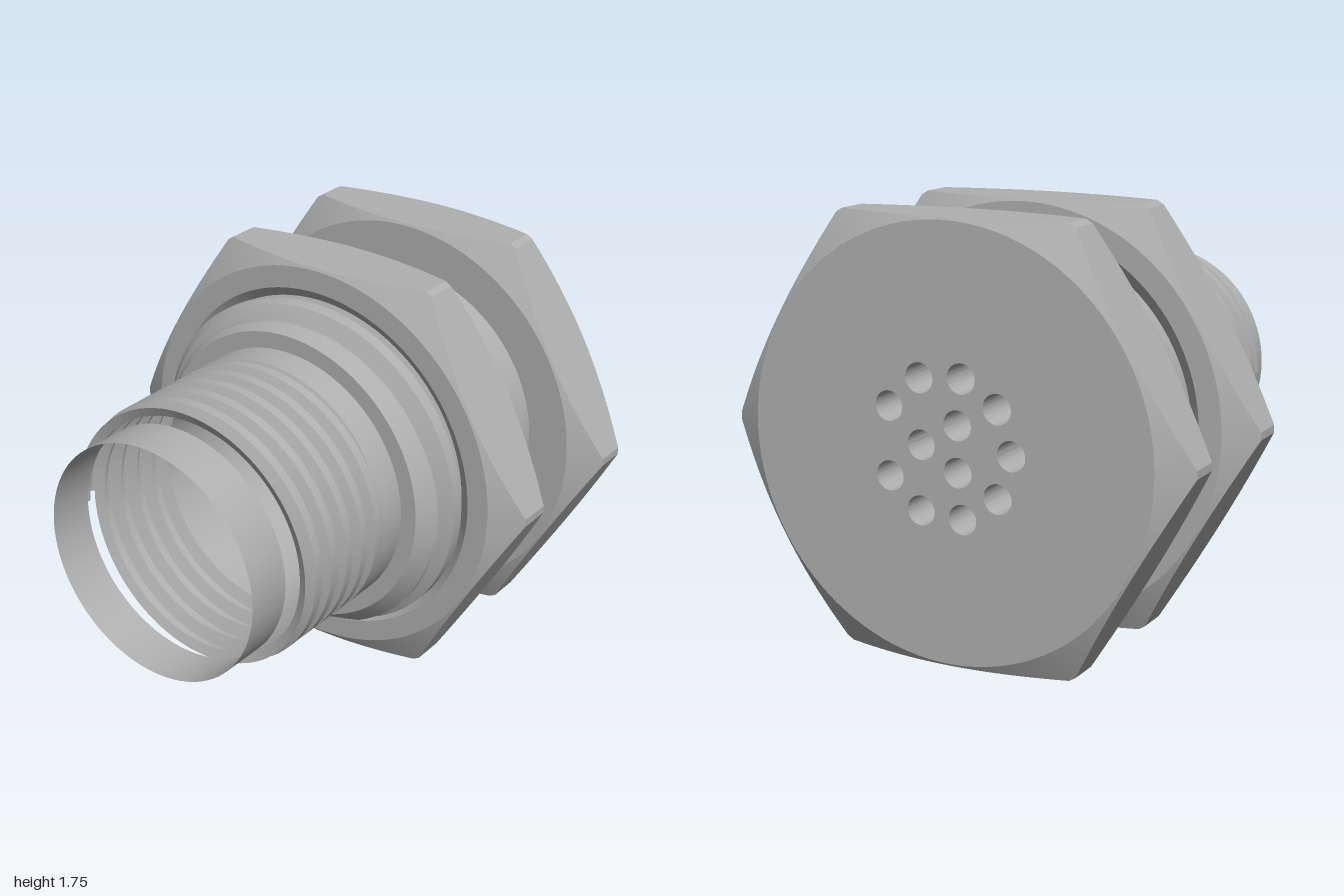
import * as THREE from 'three';
import { toCreasedNormals } from 'three/addons/utils/BufferGeometryUtils.js';

const TAU = Math.PI * 2;
const AXIS_Y = 0.874; // height of the axis, also half the hexagon width
const CORNER_R = 1, CHAMFER_R = 0.865;

// Surface from a grid of points; at(i, j) returns [x, radius, angle] around the x axis
function sweep(rows, cols, at, crease = 0.4, flatY = -9) {
  const pos = [], idx = [];
  for (let i = 0; i <= rows; i++) {
    for (let j = 0; j <= cols; j++) {
      const [x, r, a] = at(i, j);
      pos.push(x, Math.max(r * Math.cos(a), flatY), r * Math.sin(a));
      if (i < rows && j < cols) {
        const p = i * (cols + 1) + j, q = p + cols + 1;
        idx.push(p, p + 1, q, p + 1, q + 1, q);
      }
    }
  }
  const g = new THREE.BufferGeometry();
  g.setAttribute('position', new THREE.Float32BufferAttribute(pos, 3));
  g.setIndex(idx);
  return toCreasedNormals(g, crease);
}

// Turned part from [x, radius] points
const turned = (pts) => sweep(pts.length - 1, 96, (i, j) => [...pts[i], j / 96 * TAU]);

// Helical thread skin; crest centre lies at x = phase on top
function thread({ x0, x1, pitch, phase, root, crest, limit, runOut, flatY }) {
  const knots = [0, 0.2, 0.32, 0.44, 0.56, 0.68, 0.8];
  const turns = Math.ceil((x1 - x0) / pitch) + 3;
  const first = Math.floor((x0 - phase) / pitch) - 1;
  const n = knots.length;
  return sweep(turns * n, 96, (i, j) => {
    const turn = j / 96 - 0.25;
    const s = first + Math.floor(i / n) + knots[i % n];
    const start = runOut ? x0 + pitch * turn : x0;
    const x = THREE.MathUtils.clamp(phase + pitch * (s + turn), start, x1);
    let f = (x - phase) / pitch - turn;
    f = Math.abs(f - Math.round(f));
    const k = THREE.MathUtils.clamp((0.44 - f) / 0.24, 0, 1);
    return [x, Math.min(root + (crest - root) * k, limit(x)), turn * TAU];
  }, 0.35, flatY);
}

// Hexagon with chamfered corners, joined to inner profiles on both ends
function hexagon(x0, x1, before, after) {
  const steps = 20, half = Math.acos(AXIS_Y / CORNER_R);
  const angles = [];
  for (let s = 0; s < 6; s++) {
    for (let k = 0; k <= steps; k++) angles.push([s * TAU / 6, (k / steps * 2 - 1) * half]);
  }
  angles.push([TAU, -half]);
  const rows = before.length + after.length + 4;
  return sweep(rows - 1, angles.length - 1, (i, j) => {
    const [side, local] = angles[j];
    const R = AXIS_Y / Math.cos(local);
    const inset = 0.075 * (R - CHAMFER_R) / (CORNER_R - CHAMFER_R);
    const line = [...before, [x0, CHAMFER_R], [x0 + inset, R], [x1 - inset, R], [x1, CHAMFER_R], ...after];
    return [...line[i], side + local];
  });
}

// Round cap plate pierced by an outer and an inner ring of vent holes
function ventPlate(x0, x1) {
  const shape = new THREE.Shape().absarc(0, 0, CHAMFER_R, 0, TAU, false);
  const hole = (r, deg) => {
    const a = deg * Math.PI / 180;
    shape.holes.push(new THREE.Path().absarc(r * Math.cos(a), r * Math.sin(a), 0.06, 0, TAU, true));
  };
  for (let k = -4; k <= 4; k++) hole(0.283, k * 37.7);
  for (const deg of [60, 180, 300]) hole(0.106, deg);
  const g = new THREE.ExtrudeGeometry(shape, { depth: x1 - x0, bevelEnabled: false, curveSegments: 48 });
  g.rotateY(Math.PI / 2);
  g.translate(x0, 0, 0);
  return toCreasedNormals(g, 0.4);
}

export function createModel() {
  const metal = new THREE.MeshStandardMaterial({ color: 0xb0b0b0, side: THREE.DoubleSide });
  metal.name = 'grey metal';
  const model = new THREE.Group();
  model.name = 'ventPlug';
  const body = new THREE.Group();
  body.name = 'plugBody';
  body.position.y = AXIS_Y;
  model.add(body);
  const add = (name, geometry) => {
    const mesh = new THREE.Mesh(geometry, metal);
    mesh.name = name;
    body.add(mesh);
  };

  // Loose sleeve at the thin end
  add('endSleeve', turned([[-1, 0.508], [-0.8, 0.508]]));

  // Narrow thread, its plain neck and the shoulder
  add('smallThread', thread({
    x0: -0.775, x1: -0.22, pitch: 0.1, phase: -0.7, root: 0.525, crest: 0.575,
    limit: () => 1, runOut: true,
  }));
  add('neck', turned([[-0.25, 0.574], [-0.12, 0.574], [-0.12, 0.645]]));
  add('bore', turned([[-0.3, 0.508], [0.75, 0.508]]));

  // Wide thread with tapered ends and a flat underside
  add('largeThread', thread({
    x0: -0.12, x1: 0.5, pitch: 0.135, phase: 0.012, root: 0.67, crest: 0.74, flatY: -0.649,
    limit: (x) => Math.min(0.645 + (x + 0.12) * 0.85, 0.655 + (0.5 - x) * 1.2),
  }));
  add('collar', turned([[0.48, 0.654], [0.75, 0.654]]));

  // Lock nut with a countersunk bore
  add('lockNut', hexagon(0.07, 0.36,
    [[0.12, 0.71], [0.07, 0.77]], [[0.36, 0.77], [0.31, 0.71], [0.12, 0.71]]));

  // Hexagonal cap with a seal recess at the rear
  add('capRim', hexagon(0.705, 0.99, [[0.75, 0.82], [0.705, 0.82]], []));
  add('ventPlate', ventPlate(0.75, 0.99));
  return model;
}
